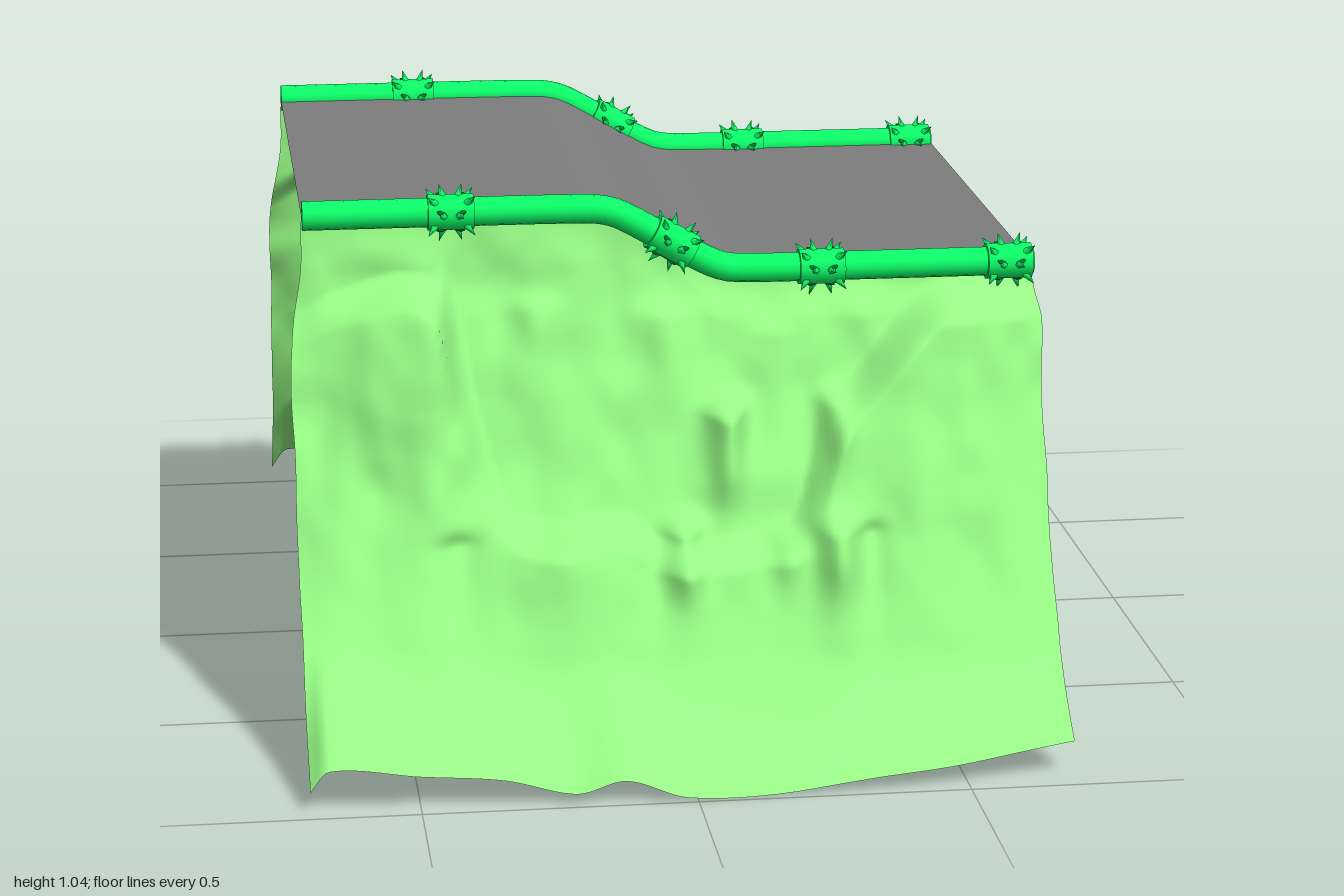
import * as THREE from 'three';

const smooth = (a, b, x) => THREE.MathUtils.smoothstep(x, a, b);

// Rail height: two level runs joined by a straight ramp with rounded bends
const bend = x => 0.5 * (x + Math.hypot(x, 0.025));
const railY = x => 0.988 - 0.6 * (bend(x + 0.104) - bend(x - 0.104));

// Smooth curve through [position, value] pairs
function curve(points, x) {
  const n = points.length;
  if (x <= points[0][0]) return points[0][1];
  if (x >= points[n - 1][0]) return points[n - 1][1];
  const slope = i => {
    const a = points[Math.max(i - 1, 0)], b = points[Math.min(i + 1, n - 1)];
    return (b[1] - a[1]) / (b[0] - a[0]);
  };
  let i = 0;
  while (x > points[i + 1][0]) i++;
  const [x0, y0] = points[i], [x1, y1] = points[i + 1];
  const h = x1 - x0, u = (x - x0) / h, v = 1 - u;
  return y0 * v * v * (1 + 2 * u) + y1 * u * u * (1 + 2 * v) + h * u * v * (slope(i) * v - slope(i + 1) * u);
}

// Smooth repeatable value noise
function hash(i, j) {
  const s = Math.sin(i * 127.1 + j * 311.7) * 43758.5453;
  return s - Math.floor(s);
}
function noise(x, y) {
  const i = Math.floor(x), j = Math.floor(y);
  const u = smooth(0, 1, x - i), v = smooth(0, 1, y - j);
  const a = hash(i, j) * (1 - u) + hash(i + 1, j) * u;
  const b = hash(i, j + 1) * (1 - u) + hash(i + 1, j + 1) * u;
  return (a * (1 - v) + b * v) * 2 - 1;
}

// Slope shape: foot line, foot depth, ledge height, ledge strength, profiles of rock and recess
const footY = [[-0.7, 0.04], [-0.665, 0.082], [-0.5, 0.065], [-0.35, 0.05], [-0.22, 0.02],
  [-0.13, 0.045], [-0.02, 0.008], [0.15, 0.003], [0.35, 0.028], [0.5, 0.04], [0.7, 0.065]];
const footZ = [[-0.7, 0.98], [-0.3, 0.982], [-0.1, 1], [0.05, 0.995], [0.4, 0.98], [0.7, 0.95]];
const ledgeY = [[-0.7, 0.77], [-0.6, 0.82], [-0.43, 0.83], [-0.39, 0.66], [-0.35, 0.5], [-0.29, 0.42],
  [-0.22, 0.41], [-0.1, 0.42], [-0.04, 0.38], [0.15, 0.38], [0.24, 0.42], [0.3, 0.58],
  [0.38, 0.67], [0.45, 0.75], [0.53, 0.81], [0.7, 0.79]];
const strength = [[-0.7, 0.15], [-0.6, 0.5], [-0.45, 1], [-0.36, 0.6], [-0.25, 1.1], [-0.1, 0.9], [0.1, 0.9],
  [0.3, 1], [0.5, 0.9], [0.6, 0.65], [0.7, 0.35]];
const outer = [[0, 1], [0.05, 0.948], [0.1, 0.892], [0.18, 0.832], [0.25, 0.802], [0.35, 0.762], [0.42, 0.732],
  [0.5, 0.7], [0.6, 0.67], [0.8, 0.63], [0.87, 0.585], [0.93, 0.535], [1, 0.5]];
const inner = [[0, 1], [0.05, 0.946], [0.1, 0.888], [0.18, 0.82], [0.25, 0.77], [0.35, 0.705], [0.46, 0.65],
  [0.54, 0.615], [0.65, 0.575], [0.79, 0.53], [0.9, 0.505], [1, 0.495]];
// Rock knobs: x, y of the tip, half width, drop below the tip, depth
const knobs = [[0.01, 0.41, 0.032, 0.1, 0.055], [0.1, 0.61, 0.035, 0.13, 0.085], [0.2, 0.39, 0.03, 0.07, 0.03],
  [0.29, 0.42, 0.035, 0.12, 0.06], [0.305, 0.62, 0.025, 0.08, 0.04], [-0.22, 0.39, 0.08, 0.08, 0.025],
  [-0.41, 0.4, 0.04, 0.15, -0.025], [0.36, 0.4, 0.03, 0.12, -0.025], [-0.05, 0.36, 0.03, 0.09, -0.02],
  [0.0, 0.78, 0.05, 0.12, 0.025], [-0.25, 0.8, 0.04, 0.15, 0.025], [0.2, 0.74, 0.04, 0.14, 0.02]];

function slopeZ(x, y, t) {
  // Blend across the ledge by distance measured square to its line
  const l = curve(ledgeY, x);
  const steep = (curve(ledgeY, x + 0.01) - curve(ledgeY, x - 0.01)) / 0.02;
  const k = curve(strength, x) * (1 - smooth(-0.025, 0.03, (y - l) / Math.hypot(1, steep)));
  let z = curve(outer, y) * k + curve(inner, y) * (1 - k);
  for (const [kx, ky, w, drop, d] of knobs) {
    const reach = y > ky ? 0.025 : drop;
    z += d * Math.exp(-(((x - kx) / w) ** 2) - ((y - ky) / reach) ** 2);
  }
  // Flutes and lumps, fading out at the foot
  const fade = smooth(0.1, 0.5, y);
  z += fade * (0.014 * noise(x * 11 + 20, y * 6) + 0.006 * noise(x * 20 + 40, y * 14));
  z += 0.007 * noise(x * 5 + 9, y * 6);
  z += (curve(footZ, x) - curve(outer, curve(footY, x))) * (1 - smooth(0, 0.2, t));
  return THREE.MathUtils.lerp(z, 0.495, smooth(0.9, 1, t));
}

function makeSlope(side, material) {
  const geo = new THREE.PlaneGeometry(1, 1, 160, 130);
  const p = geo.attributes.position;
  for (let i = 0; i < p.count; i++) {
    const u = p.getX(i) + 0.5, t = p.getY(i) + 0.5;
    const wave = 0.004 * noise(3, t * 9);
    const x = THREE.MathUtils.lerp(-0.7 + 0.027 * smooth(0.7, 1, t) + wave, 0.699 + wave, u);
    const y0 = curve(footY, x);
    const y = y0 + (railY(x) - 0.015 - y0) * t;
    p.setXYZ(i, x, y, side * slopeZ(x, y, t));
  }
  if (side < 0) {
    const a = geo.index.array;
    for (let i = 0; i < a.length; i += 3) [a[i], a[i + 1]] = [a[i + 1], a[i]];
  }
  geo.computeVertexNormals();
  const mesh = new THREE.Mesh(geo, material);
  mesh.name = side > 0 ? 'frontSlope' : 'backSlope';
  return mesh;
}

// Sleeve with rings of thorns and slanted dark slots on four sides
function makeCollar(green, dark) {
  const collar = new THREE.Group();
  collar.name = 'spikedCollar';
  const add = (geo, mat, name) => {
    const m = new THREE.Mesh(geo, mat);
    m.name = name;
    collar.add(m);
    return m;
  };
  add(new THREE.CylinderGeometry(0.034, 0.034, 0.085, 12), green, 'sleeve').rotation.z = Math.PI / 2;
  const up = new THREE.Vector3(0, 1, 0);
  const thorn = (x, angle, lean, length) => {
    const radial = new THREE.Vector3(0, Math.cos(angle), Math.sin(angle));
    const dir = radial.clone().add(new THREE.Vector3(lean, 0, 0)).normalize();
    const m = add(new THREE.ConeGeometry(0.008, length, 5), green, 'thorn');
    m.quaternion.setFromUnitVectors(up, dir);
    m.position.copy(radial.multiplyScalar(0.03)).addScaledVector(dir, length / 2);
    m.position.x += x;
  };
  for (let k = 0; k < 4; k++) {
    const a = k * Math.PI / 2;
    for (const s of [-1, 1]) {
      thorn(s * 0.03, a + Math.PI / 4, s * 0.6, 0.026);
      thorn(s * 0.014, a, s * 0.3, 0.025);
      const slot = new THREE.Group();
      const m = new THREE.Mesh(new THREE.SphereGeometry(0.009, 8, 6), dark);
      m.name = 'slot';
      m.scale.set(1.2, 0.5, 0.3);
      m.position.set(s * 0.017, 0.004, 0.0335);
      m.rotation.z = s * 0.5;
      slot.add(m);
      slot.rotation.x = a;
      slot.name = 'slotSide';
      collar.add(slot);
    }
  }
  return collar;
}

function makeRail(side, green, dark) {
  const rail = new THREE.Group();
  rail.name = side > 0 ? 'frontRail' : 'backRail';
  const pts = [];
  for (let i = 0; i <= 40; i++) {
    const x = -0.673 + 1.367 * i / 40;
    pts.push(new THREE.Vector3(x, railY(x), side * 0.51));
  }
  const tube = new THREE.Mesh(
    new THREE.TubeGeometry(new THREE.CatmullRomCurve3(pts), 80, 0.027, 14), green);
  tube.name = 'railTube';
  rail.add(tube);
  for (const end of [0, 40]) {
    const cap = new THREE.Mesh(new THREE.CircleGeometry(0.027, 14), green);
    cap.name = 'railCap';
    cap.position.copy(pts[end]);
    cap.rotation.y = end ? Math.PI / 2 : -Math.PI / 2;
    rail.add(cap);
  }
  for (const x of [-0.4, 0.012, 0.292, 0.648]) {
    const collar = makeCollar(green, dark);
    collar.position.set(x, railY(x), side * 0.51);
    collar.rotation.z = Math.atan((railY(x + 0.02) - railY(x - 0.02)) / 0.04);
    rail.add(collar);
  }
  return rail;
}

export function createModel() {
  const model = new THREE.Group();
  model.name = 'roadOnEmbankment';
  const mat = (color, side = THREE.FrontSide) => new THREE.MeshStandardMaterial({ color, side });
  const grass = mat(0x98ff86, THREE.DoubleSide);
  const green = mat(0x0cff68);
  const dark = mat(0x067a36);

  // Road deck following the dip
  const deck = new THREE.PlaneGeometry(1.367, 1, 60, 1).rotateX(-Math.PI / 2).translate(0.01, 0, 0);
  const p = deck.attributes.position;
  for (let i = 0; i < p.count; i++) p.setY(i, railY(p.getX(i)) - 0.002);
  deck.computeVertexNormals();
  const road = new THREE.Mesh(deck, mat(0x7e7e7e, THREE.DoubleSide));
  road.name = 'road';
  model.add(road);

  for (const side of [1, -1]) model.add(makeSlope(side, grass), makeRail(side, green, dark));
  return model;
}
